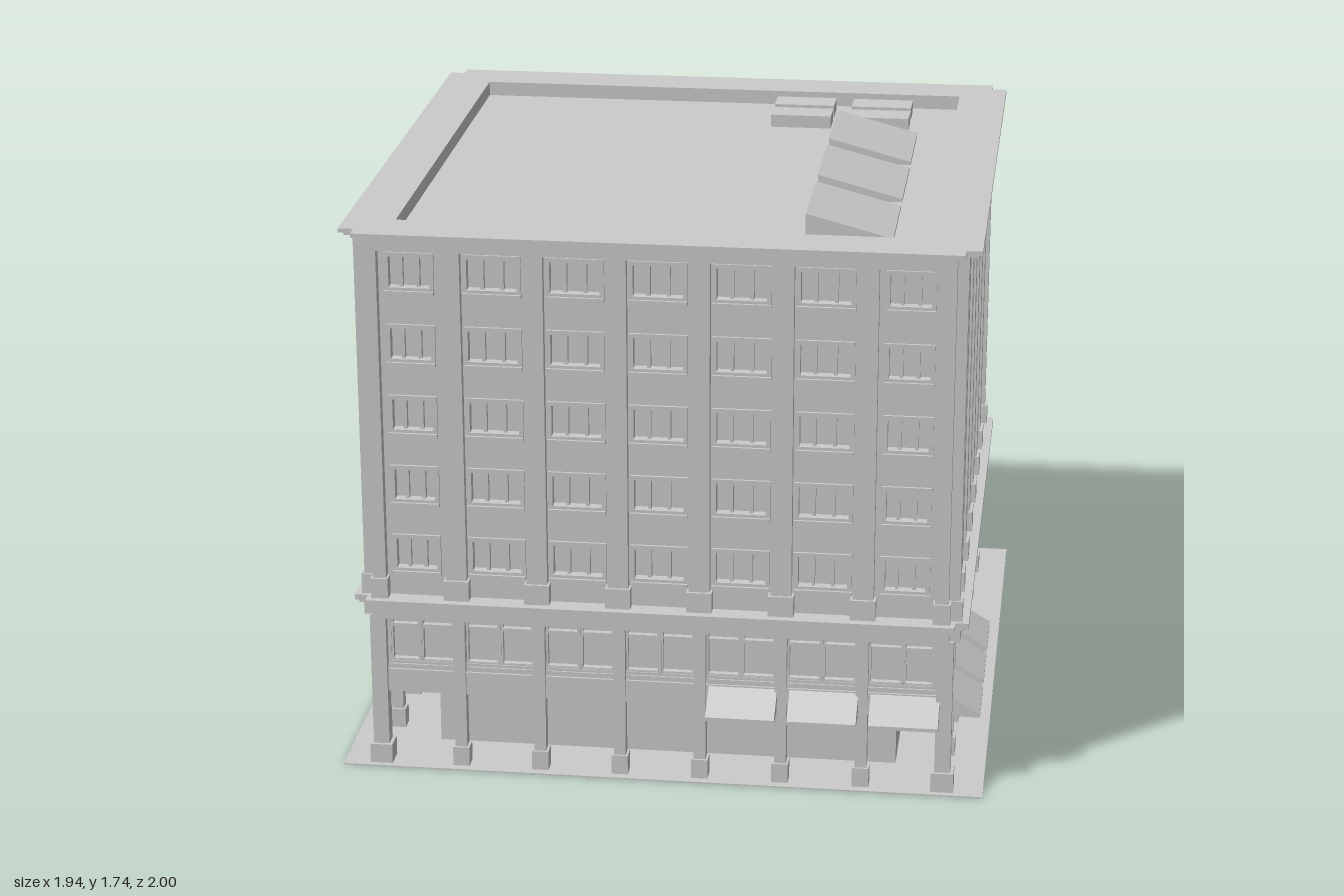
import * as THREE from 'three';

const mat = new THREE.MeshStandardMaterial({ color: 0xcccccc, flatShading: true });
const BAY = 0.243, CX = -0.008, CZ = 0.04;
const BAYS = [-3, -2, -1, 0, 1, 2, 3];
const PIERS = [-2.5, -1.5, -0.5, 0.5, 1.5, 2.5];

function add(parent, name, geo, x = 0, y = 0, z = 0) {
  const m = new THREE.Mesh(geo, mat);
  m.name = name;
  m.position.set(x, y, z);
  parent.add(m);
  return m;
}

// box given by its limits
function block(parent, name, x0, x1, y0, y1, z0, z1) {
  return add(parent, name, new THREE.BoxGeometry(x1 - x0, y1 - y0, z1 - z0),
    (x0 + x1) / 2, (y0 + y1) / 2, (z0 + z1) / 2);
}

function rect(T, x0, x1, y0, y1) {
  return new T([[x0, y0], [x1, y0], [x1, y1], [x0, y1]].map(p => new THREE.Vector2(...p)));
}

const extrude = (shape, depth) => new THREE.ExtrudeGeometry(shape, { depth, bevelEnabled: false });

// horizontal square slab with stepped corners and an optional square opening
function slab(parent, name, half, notch, y0, y1, opening = 0) {
  const a = half, b = half - notch;
  const s = new THREE.Shape([[b, -a], [b, -b], [a, -b], [a, b], [b, b], [b, a],
    [-b, a], [-b, b], [-a, b], [-a, -b], [-b, -b], [-b, -a]].map(p => new THREE.Vector2(...p)));
  if (opening) s.holes.push(rect(THREE.Path, -opening, opening, -opening, opening));
  const geo = extrude(s, y1 - y0);
  geo.rotateX(-Math.PI / 2);
  return add(parent, name, geo, 0, y0, 0);
}

// wall panel with rectangular holes [x0, x1, y0, y1]
function wall(parent, name, half, y0, y1, z0, z1, holes) {
  const s = rect(THREE.Shape, -half, half, y0, y1);
  for (const h of holes) s.holes.push(rect(THREE.Path, ...h));
  return add(parent, name, extrude(s, z1 - z0), 0, 0, z0);
}

// picture-frame surround
function frameGeo(w, h, t, depth) {
  const s = rect(THREE.Shape, -w / 2, w / 2, -h / 2, h / 2);
  s.holes.push(rect(THREE.Path, -w / 2 + t, w / 2 - t, -h / 2 + t, h / 2 - t));
  return extrude(s, depth);
}

// one facade, facing +z at its distance from the building's centre
function facade(awningSign) {
  const g = new THREE.Group();
  g.name = 'facade';

  // upper floors: windows in five rows of seven
  const openings = [];
  for (const b of BAYS) for (let r = 0; r < 5; r++) {
    const end = Math.abs(b) === 3, w = end ? 0.146 : 0.172, x = b * BAY, y = 0.691 + r * 0.2205;
    openings.push([x - w / 2 + 0.005, x + w / 2 - 0.005, y - 0.055, y + 0.055]);
    add(g, 'windowFrame', frameGeo(w, 0.12, 0.013, 0.03), x, y, 0.838);
    block(g, 'windowSill', x - w / 2, x + w / 2, y - 0.066, y - 0.056, 0.85, 0.876);
    for (const m of [-1, 1]) {
      const mx = x + m * w * 0.17;
      block(g, 'windowMullion', mx - 0.005, mx + 0.005, y - 0.055, y + 0.055, 0.83, 0.855);
    }
  }
  wall(g, 'upperWall', 0.8595, 0.55, 1.65, 0.836, 0.86, openings);

  // pilasters with bases
  for (const p of PIERS) {
    const x = p * BAY;
    block(g, 'pilaster', x - 0.031, x + 0.031, 0.55, 1.645, 0.85, 0.886);
    block(g, 'pilasterBase', x - 0.038, x + 0.038, 0.55, 0.618, 0.85, 0.895);
  }
  for (const s of [-1, 1]) {
    const c = s * 0.84;
    block(g, 'cornerPilaster', c - 0.02, c + 0.02, 0.55, 1.645, 0.85, 0.892);
    block(g, 'cornerPilasterBase', c - 0.026, c + 0.026, 0.55, 0.618, 0.85, 0.9);
  }

  // second floor: paired windows with transoms
  const shop = [];
  for (const b of BAYS) for (const s of [-1, 1]) {
    const outer = b * s === 3, x = b * BAY + s * (outer ? 0.046 : 0.053), w = outer ? 0.088 : 0.1;
    shop.push([x - w / 2, x + w / 2, 0.332, 0.482]);
    add(g, 'shopWindowFrame', frameGeo(w, 0.15, 0.006, 0.022), x, 0.407, 0.825);
    block(g, 'windowTransom', x - w / 2, x + w / 2, 0.442, 0.452, 0.82, 0.845);
  }
  wall(g, 'secondFloorWall', 0.8495, 0.3, 0.49, 0.826, 0.85, shop);
  block(g, 'lowerBand', -0.855, 0.855, 0.235, 0.308, 0.81, 0.862);
  block(g, 'bandLedge', -0.855, 0.855, 0.308, 0.323, 0.81, 0.855);

  // street columns
  for (const p of PIERS) {
    const x = p * BAY;
    block(g, 'column', x - 0.018, x + 0.018, 0.06, 0.49, 0.836, 0.872);
    block(g, 'columnBase', x - 0.025, x + 0.025, 0, 0.065, 0.829, 0.879);
  }

  // three sloped awnings
  const profile = new THREE.Shape([[0.86, 0.235], [0.96, 0.235], [0.96, 0.246], [0.86, 0.305]]
    .map(p => new THREE.Vector2(...p)));
  for (const b of [1, 2, 3]) {
    const geo = extrude(profile, 0.206);
    geo.rotateY(-Math.PI / 2); // profile radius to +z, length to -x
    add(g, 'awning', geo, awningSign * b * BAY + 0.103 + awningSign * 0.008, 0, 0);
  }
  return g;
}

export function createModel() {
  const model = new THREE.Group();
  model.name = 'cornerBuilding';
  block(model, 'groundPlate', -0.975, 0.968, 0, 0.004, -1, 0.945);

  const building = new THREE.Group();
  building.name = 'building';
  building.position.set(CX, 0, CZ);
  model.add(building);

  // solid cores behind the walls
  block(building, 'groundFloorCore', -0.703, 0.703, 0, 0.25, -0.703, 0.703);
  block(building, 'secondFloorCore', -0.828, 0.828, 0.236, 0.52, -0.828, 0.828);
  block(building, 'towerCore', -0.838, 0.838, 0.52, 1.66, -0.838, 0.838);

  for (let k = 0; k < 4; k++) {
    const f = facade(k % 2 ? -1 : 1);
    f.rotation.y = k * Math.PI / 2;
    building.add(f);
  }

  // corner columns
  for (const sx of [-1, 1]) for (const sz of [-1, 1]) {
    const x = sx * 0.853, z = sz * 0.853;
    block(building, 'cornerColumn', x - 0.024, x + 0.024, 0.06, 0.49, z - 0.024, z + 0.024);
    block(building, 'cornerColumnBase', x - 0.034, x + 0.034, 0, 0.065, z - 0.034, z + 0.034);
  }

  // middle cornice
  slab(building, 'middleFrieze', 0.895, 0.03, 0.487, 0.53);
  slab(building, 'middleCorniceLower', 0.908, 0.035, 0.528, 0.54);
  slab(building, 'middleCornice', 0.92, 0.04, 0.538, 0.555);

  // top cornice forming the parapet around the sunken roof
  slab(building, 'topFrieze', 0.893, 0.033, 1.643, 1.685, 0.78);
  slab(building, 'topCorniceLower', 0.915, 0.04, 1.683, 1.694, 0.78);
  slab(building, 'topCornice', 0.93, 0.046, 1.692, 1.705, 0.78);

  // sloped skylights and small rooftop boxes
  const wedge = new THREE.Shape([[0.4, 1.655], [0.655, 1.655], [0.655, 1.67], [0.4, 1.737]]
    .map(p => new THREE.Vector2(...p)));
  for (const z of [-0.41, -0.01, 0.39]) add(model, 'skylight', extrude(wedge, 0.333), 0, 0, z);
  for (const x of [0.18, 0.43]) for (const z of [-0.69, -0.56])
    block(model, 'roofBox', x, x + 0.193, 1.65, 1.7, z, z + 0.096);
  return model;
}
